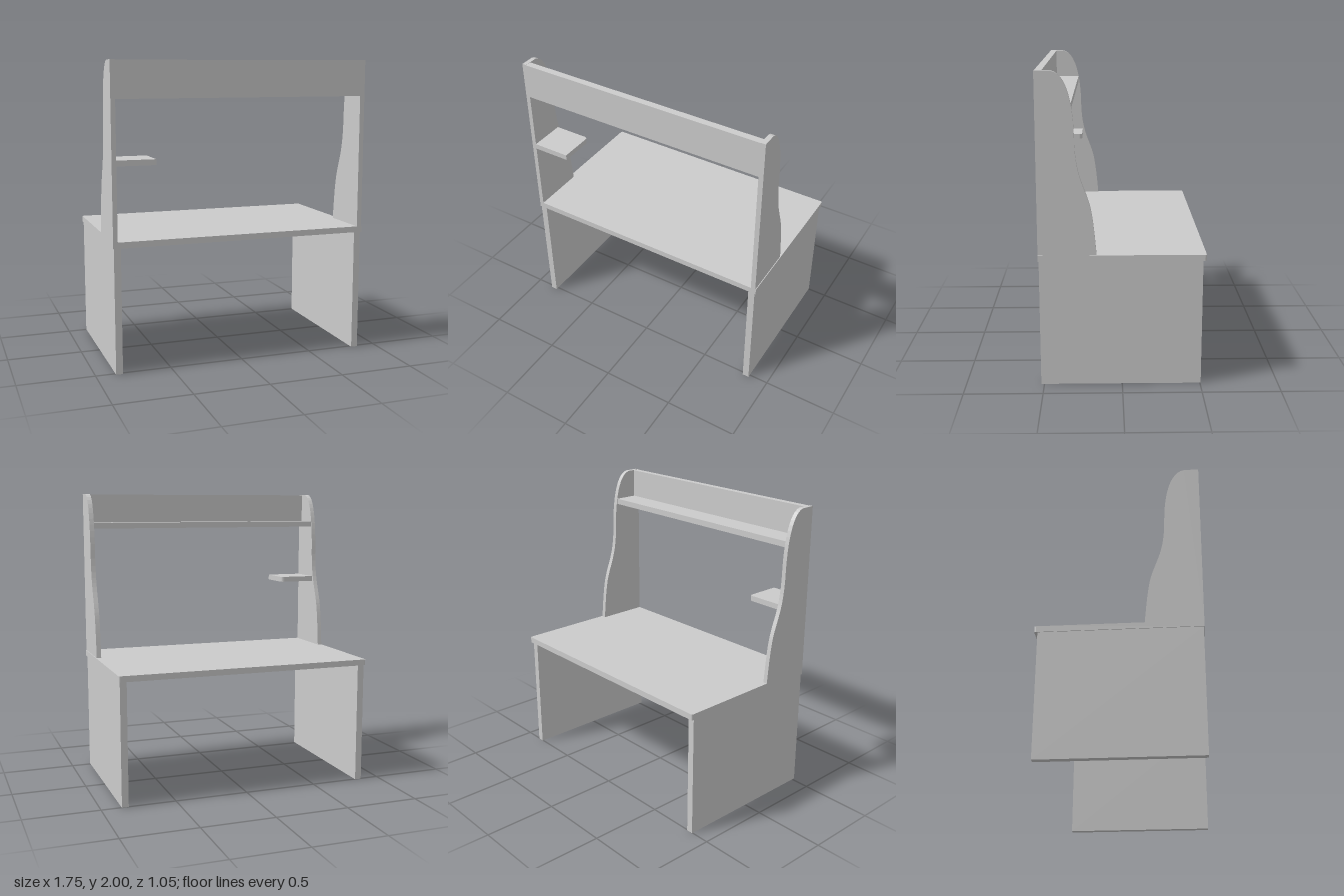
import * as THREE from 'three';

const material = new THREE.MeshStandardMaterial({ color: 0xcccccc });

// Box given by its minimum and maximum corners
function board(name, [x0, y0, z0], [x1, y1, z1]) {
  const mesh = new THREE.Mesh(new THREE.BoxGeometry(x1 - x0, y1 - y0, z1 - z0), material);
  mesh.position.set((x0 + x1) / 2, (y0 + y1) / 2, (z0 + z1) / 2);
  mesh.name = name;
  return mesh;
}

// Horizontal slab whose two rear corners can be rounded (rLeft at -x, rRight at +x)
function slab(name, x0, x1, z0, z1, y0, y1, rLeft, rRight) {
  const s = new THREE.Shape();
  s.moveTo(x0, z1);
  s.lineTo(x0, z0 + rLeft);
  if (rLeft) s.quadraticCurveTo(x0, z0, x0 + rLeft, z0);
  s.lineTo(x1 - rRight, z0);
  if (rRight) s.quadraticCurveTo(x1, z0, x1, z0 + rRight);
  s.lineTo(x1, z1);
  const geometry = new THREE.ExtrudeGeometry(s, { depth: y1 - y0, bevelEnabled: false, curveSegments: 6 });
  geometry.rotateX(Math.PI / 2);
  const mesh = new THREE.Mesh(geometry, material);
  mesh.position.y = y1;
  mesh.name = name;
  return mesh;
}

// Upright side panel with a wavy rear edge, drawn in (z, y)
function sidePanel(name, x0, x1) {
  const s = new THREE.Shape();
  s.moveTo(0.525, 0.865);
  s.lineTo(0.525, 2);
  s.lineTo(0.43, 2);
  s.bezierCurveTo(0.33, 1.985, 0.295, 1.79, 0.292, 1.61);
  s.bezierCurveTo(0.29, 1.36, 0.235, 1.31, 0.2, 1.18);
  s.bezierCurveTo(0.18, 1.1, 0.17, 0.98, 0.16, 0.865);
  const geometry = new THREE.ExtrudeGeometry(s, { depth: x1 - x0, bevelEnabled: false, curveSegments: 12 });
  geometry.rotateY(-Math.PI / 2);
  const mesh = new THREE.Mesh(geometry, material);
  mesh.position.x = x1;
  mesh.name = name;
  return mesh;
}

export function createModel() {
  const model = new THREE.Group();
  model.name = 'desk';
  model.add(
    // Desk
    slab('desktop', -0.875, 0.875, -0.525, 0.525, 0.825, 0.865, 0.012, 0.012),
    board('rightLegPanel', [-0.87, 0, -0.505], [-0.825, 0.825, 0.52]),
    board('leftLegPanel', [0.82, 0, -0.505], [0.865, 0.825, 0.52]),
    // Hutch
    sidePanel('rightSidePanel', -0.875, -0.845),
    sidePanel('leftSidePanel', 0.838, 0.87),
    board('upperBoard', [-0.845, 1.76, 0.48], [0.838, 1.998, 0.525]),
    board('upperShelf', [-0.845, 1.76, 0.31], [0.838, 1.8, 0.48]),
    slab('smallShelf', -0.845, -0.588, 0.28, 0.525, 1.345, 1.382, 0, 0.025),
  );
  return model;
}
